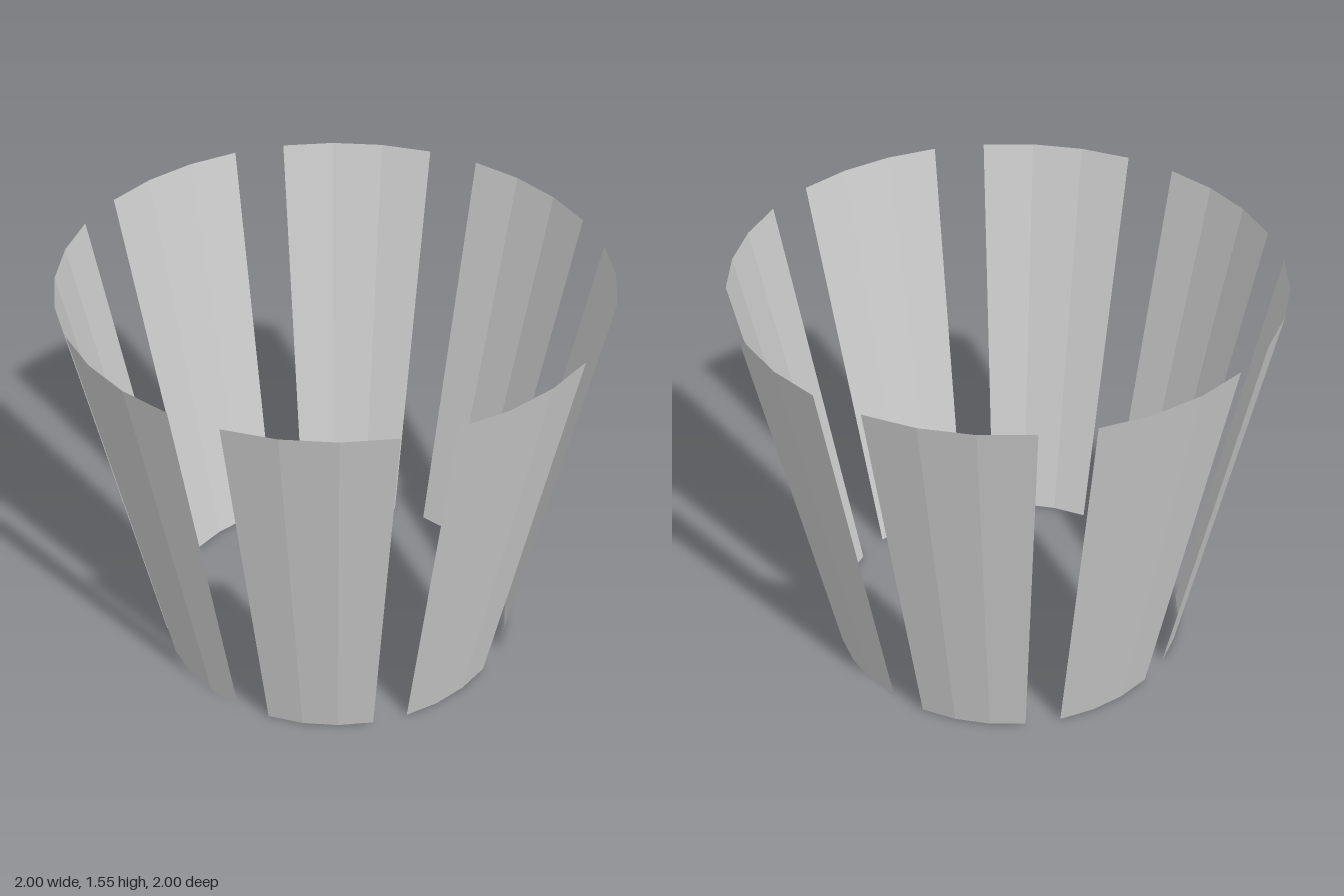
import * as THREE from 'three';

const PANELS = 8;
const STEP = (Math.PI * 2) / 32; // each panel spans three steps, each gap one
const HEIGHT = 1.55;

export function createModel() {
  const group = new THREE.Group();
  group.name = 'slattedTaperedRing';

  const material = new THREE.MeshStandardMaterial({
    color: 0xcccccc,
    flatShading: true,
    side: THREE.DoubleSide,
  });

  // One thin three-faceted panel of an open tapered cylinder
  const geometry = new THREE.CylinderGeometry(1, 0.68, HEIGHT, 3, 1, true, STEP, STEP * 3);
  geometry.translate(0, HEIGHT / 2, 0);

  // Panels repeated around the ring
  for (let i = 0; i < PANELS; i++) {
    const panel = new THREE.Mesh(geometry, material);
    panel.name = `panel${i + 1}`;
    panel.rotation.y = (i * Math.PI * 2) / PANELS;
    group.add(panel);
  }
  return group;
}
